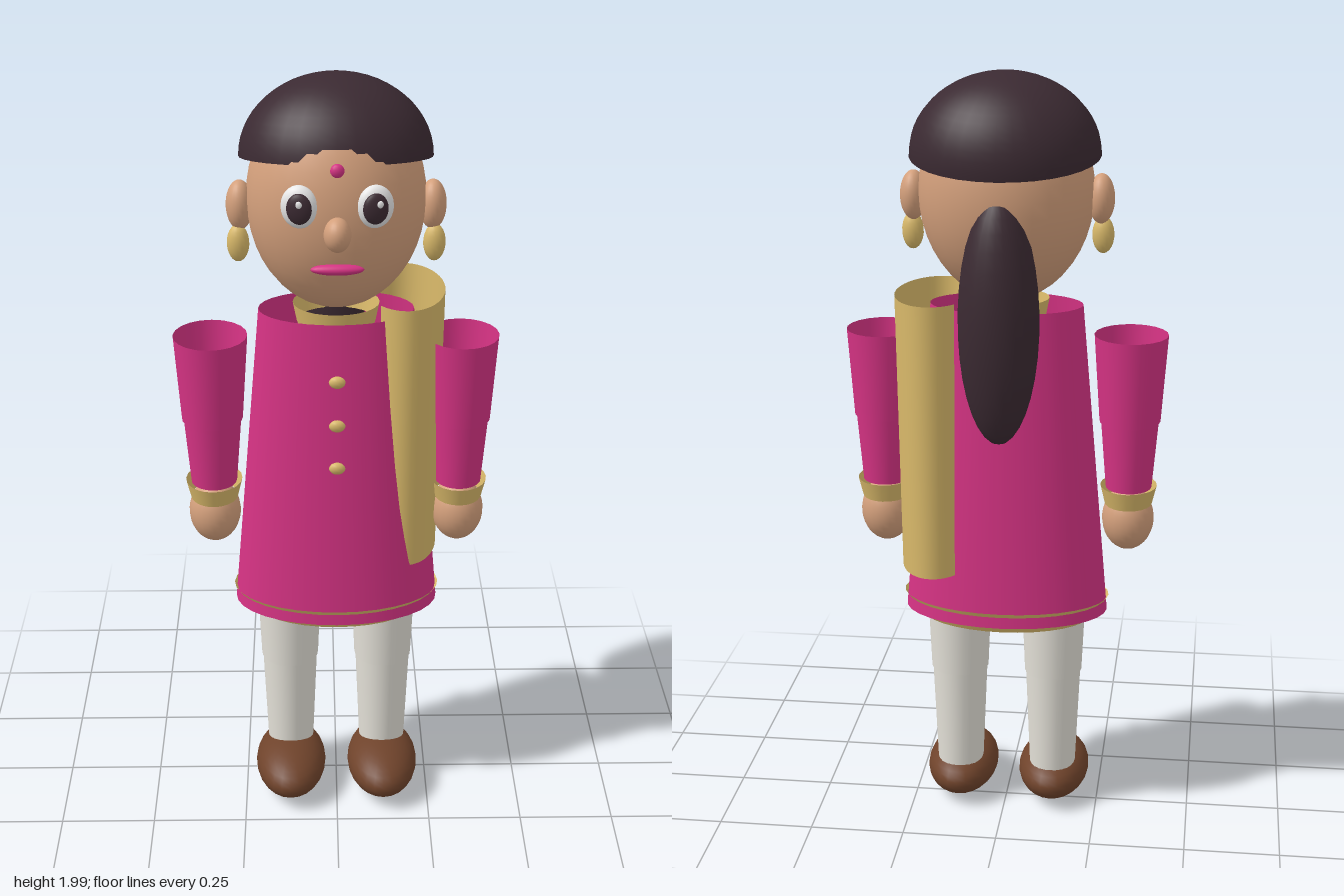
import * as THREE from 'three';

const mat = (name, color, side = THREE.FrontSide) => {
  const m = new THREE.MeshStandardMaterial({ color, side });
  m.name = name;
  return m;
};

export function createModel() {
  const model = new THREE.Group();
  model.name = 'doll';

  const skin = mat('skin', 0xd4a07c);
  const pink = mat('pink cloth', 0xd63384, THREE.DoubleSide);
  const gold = mat('gold trim', 0xd9b96a, THREE.DoubleSide);
  const cream = mat('cream cloth', 0xe4e1d8, THREE.DoubleSide);
  const dark = mat('dark hair', 0x3b2a32, THREE.DoubleSide);
  const brown = mat('brown leather', 0x6f432b);
  const white = mat('eye white', 0xf5f5f5);

  const add = (name, geometry, material, pos, parent = model) => {
    const m = new THREE.Mesh(geometry, material);
    m.name = name;
    m.position.set(...pos);
    parent.add(m);
    return m;
  };

  // Ellipsoid given by centre and three radii
  const ball = (name, material, pos, radii, parent = model, seg = 24) => {
    const m = add(name, new THREE.SphereGeometry(1, seg, Math.round(seg * 0.7)), material, pos, parent);
    m.scale.set(...radii);
    return m;
  };

  // Open tapered tube between two heights; depth stretches it along z
  const tube = (name, material, x, z, y0, y1, r0, r1, depth = 1, parent = model, seg = 24) => {
    const g = new THREE.CylinderGeometry(r1, r0, y1 - y0, seg, 1, true);
    g.scale(1, 1, depth);
    return add(name, g, material, [x, (y0 + y1) / 2, z], parent);
  };

  // Tunic with its flared hem and collar bands
  tube('tunic', pink, 0, 0.005, 0.575, 1.408, 0.27, 0.197, 0.62, model, 32);
  tube('hemBand', gold, 0, 0.005, 0.553, 0.616, 0.225, 0.274, 0.625, model, 32);
  tube('collar', gold, 0, 0.005, 1.375, 1.425, 0.1, 0.11, 0.9);
  for (const y of [1.277, 1.158, 1.04]) ball('button', gold, [0, y, 0.18], [0.021, 0.016, 0.012], model, 12);

  // Scarf: open elliptical wrap hanging from the left shoulder
  const scarf = new THREE.CylinderGeometry(1, 0.9, 0.725, 32, 1, true, -0.22 * Math.PI, 1.44 * Math.PI);
  scarf.scale(0.103, 1, 0.173);
  add('scarf', scarf, gold, [0.175, 1.083, -0.043]);

  // Head, hair cap and ponytail
  ball('head', skin, [0, 1.7, 0.005], [0.222, 0.28, 0.206], model, 32);
  const cap = add('hairCap', new THREE.SphereGeometry(1, 32, 14, 0, Math.PI * 2, 0, Math.PI / 2), dark, [0, 1.795, -0.027]);
  cap.scale.set(0.24, 0.204, 0.21);
  cap.rotation.x = -0.17;
  ball('ponytail', dark, [0, 1.4, -0.17], [0.102, 0.315, 0.092]);

  // Face
  ball('nose', skin, [0, 1.676, 0.224], [0.033, 0.042, 0.038]);
  ball('lips', pink, [0, 1.578, 0.192], [0.065, 0.014, 0.018]);
  ball('foreheadDot', pink, [0, 1.822, 0.19], [0.017, 0.017, 0.012], model, 14);

  // Mirrored parts
  for (const s of [-1, 1]) {
    const side = s > 0 ? 'left' : 'right';

    const eye = new THREE.Group();
    eye.name = side + 'Eye';
    eye.position.set(s * 0.09, 1.735, 0.19);
    eye.rotation.y = s * 0.2;
    model.add(eye);
    ball('eyeball', white, [0, 0, 0], [0.045, 0.053, 0.025], eye);
    ball('pupil', dark, [-s * 0.003, 0, 0.018], [0.031, 0.038, 0.014], eye);
    ball('eyeGlint', white, [0.005, 0.014, 0.031], [0.008, 0.009, 0.004], eye, 10);

    ball(side + 'Ear', skin, [s * 0.238, 1.682, 0.01], [0.034, 0.063, 0.042]);
    ball(side + 'Earring', gold, [s * 0.243, 1.588, 0.024], [0.028, 0.048, 0.024], model, 16);

    // Sleeve in two sections, cuff and hand
    const arm = new THREE.Group();
    arm.name = side + 'Arm';
    arm.position.set(s * 0.321, 0, 0.006);
    model.add(arm);
    tube('upperSleeve', pink, 0, 0, 1.105, 1.335, 0.079, 0.095, 1.1, arm, 20);
    tube('lowerSleeve', pink, 0, 0, 0.925, 1.107, 0.06, 0.075, 1.1, arm, 20);
    tube('cuff', gold, 0, 0, 0.88, 0.93, 0.062, 0.074, 1.18, arm, 20);
    ball('hand', skin, [0, 0.838, 0.002], [0.068, 0.086, 0.071], arm);

    // Trouser leg in two sections and shoe
    const leg = new THREE.Group();
    leg.name = side + 'Leg';
    leg.position.set(s * 0.127, 0, 0.005);
    model.add(leg);
    tube('upperTrouser', cream, 0, 0, 0.395, 0.68, 0.077, 0.089, 1.1, leg);
    tube('lowerTrouser', cream, 0, 0, 0.11, 0.397, 0.062, 0.074, 1.15, leg);
    ball('shoe', brown, [0, 0.076, 0.055], [0.096, 0.07, 0.162], leg);
  }

  // Rest the shoes on the ground
  const box = new THREE.Box3().setFromObject(model);
  for (const part of model.children) part.position.y -= box.min.y;
  return model;
}
